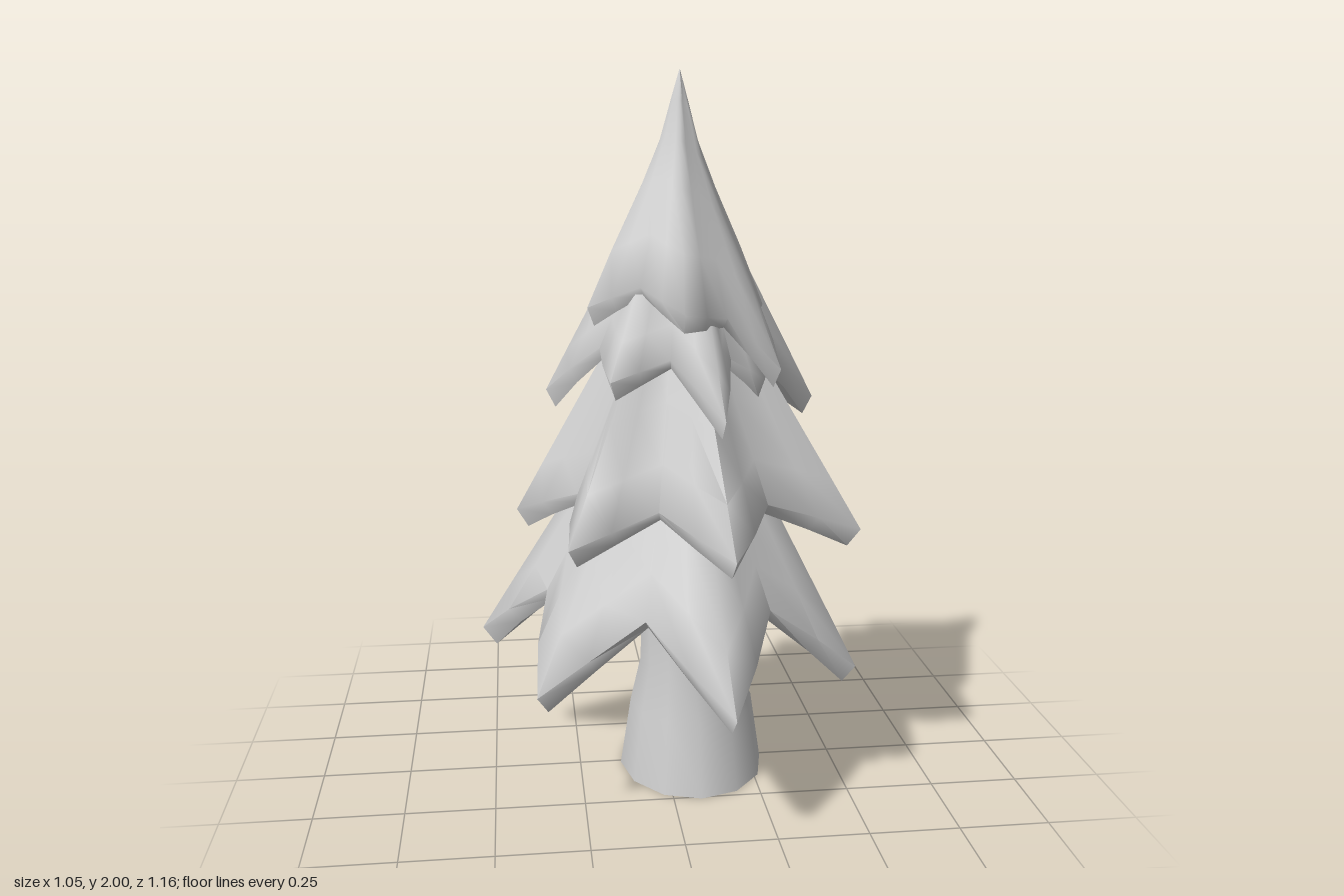
import * as THREE from 'three';
import { toCreasedNormals } from 'three/addons/utils/BufferGeometryUtils.js';

// Double sided, as the trunk is an open tube
const material = new THREE.MeshStandardMaterial({ color: 0xcccccc, side: THREE.DoubleSide });

// Skin a stack of equal-length rings, running from the top down (points clockwise seen from above)
function loft(name, rings) {
  const n = rings[0].length;
  const index = [];
  for (let r = 0; r < rings.length - 1; r++) {
    for (let i = 0; i < n; i++) {
      const j = (i + 1) % n;
      const up = r * n, low = up + n;
      index.push(low + i, up + i, up + j, low + i, up + j, low + j);
    }
  }
  const geometry = new THREE.BufferGeometry();
  geometry.setAttribute('position', new THREE.Float32BufferAttribute(rings.flat(2), 3));
  geometry.setIndex(index);
  const mesh = new THREE.Mesh(toCreasedNormals(geometry, 1.25), material);
  mesh.name = name;
  return mesh;
}

// Tree axis, and the [scale, rise] slopes of the branch skirts
const CX = 0.04, CZ = 0.02;
const SKIRT = [[0.34, 0.82], [0.42, 0.72], [0.63, 0.46], [0.84, 0.2]];
const CROWN = [[0.005, 1], [0.1, 0.87], [0.22, 0.7], [0.43, 0.5], [0.74, 0.24]];

// Star-shaped tier: tips are [x, z, extra droop]; a notch sits between each pair of tips,
// pulled towards the tree axis and raised, with a slightly bulging shoulder on either side.
// Rim points are [x, y, z, lip thickness].
function tier(name, { topY, tipY, notchRise, pull, slope, tips }) {
  const shoulder = (a, b) => {
    const [x, y, z, lip] = a.map((v, k) => (v + b[k]) / 2);
    return [CX + (x - CX) * 1.03, y, CZ + (z - CZ) * 1.03, lip];
  };
  const tipPoint = ([x, z, droop = 0]) => [x, tipY - droop, z, 0.05];
  const rim = tips.flatMap((tip, i) => {
    const a = tipPoint(tip), b = tipPoint(tips[(i + 1) % tips.length]);
    const notch = [
      CX + ((a[0] + b[0]) / 2 - CX) * pull,
      (a[1] + b[1]) / 2 + notchRise,
      CZ + ((a[2] + b[2]) / 2 - CZ) * pull,
      0.025,
    ];
    return [a, shoulder(a, notch), notch, shoulder(notch, b)];
  });
  const ring = (scale, rise, lipAmount = 0) => rim.map(([x, y, z, lip]) => [
    CX + (x - CX) * scale, y + (topY - y) * rise - lip * lipAmount, CZ + (z - CZ) * scale,
  ]);
  return loft(name, [
    ...slope.map(([scale, rise]) => ring(scale, rise)),
    ring(1, 0), ring(0.93, 0, 1), // rim and blunt lower lip
    ring(0.55, 0.2), ring(0.22, 0.34), // hollow underside
  ]);
}

// Flared oval trunk, rows of [y, centre x, half width, half depth]
function trunk() {
  const rows = [
    [0.75, 0.05, 0.11, 0.12], [0.5, 0.055, 0.12, 0.135], [0.33, 0.065, 0.135, 0.16],
    [0.2, 0.08, 0.18, 0.2], [0, 0.08, 0.21, 0.25],
  ];
  const sides = 12;
  return loft('trunk', rows.map(([y, cx, w, d]) => Array.from({ length: sides }, (_, i) => {
    const a = (i / sides) * Math.PI * 2;
    return [cx + Math.sin(a) * w, y, 0.01 - Math.cos(a) * d];
  })));
}

export function createModel() {
  const group = new THREE.Group();
  group.name = 'pineTree';
  group.add(trunk());
  group.add(tier('bottomBranches', {
    topY: 1.15, tipY: 0.38, notchRise: 0.2, pull: 0.77, slope: SKIRT,
    tips: [[0.04, -0.58], [0.51, -0.35], [0.51, 0.26], [0.12, 0.58], [-0.38, 0.38], [-0.53, -0.16]],
  }));
  group.add(tier('lowerMiddleBranches', {
    topY: 1.45, tipY: 0.77, notchRise: 0.09, pull: 0.74, slope: SKIRT,
    tips: [[0.04, -0.49], [0.38, -0.22], [0.52, 0.23], [0.13, 0.49], [-0.29, 0.34], [-0.42, -0.08]],
  }));
  group.add(tier('upperMiddleBranches', {
    topY: 1.7, tipY: 1.13, notchRise: 0.1, pull: 0.78, slope: SKIRT,
    tips: [[0.05, -0.38], [0.44, -0.06, 0.04], [0.25, 0.2, -0.06], [0.12, 0.36, 0.02],
      [-0.17, 0.26, -0.07], [-0.33, -0.04], [-0.18, -0.2, -0.05]],
  }));
  group.add(tier('crown', {
    topY: 2, tipY: 1.38, notchRise: 0.06, pull: 0.88, slope: CROWN,
    tips: [[0.02, -0.31], [0.28, -0.04], [0.29, 0.22, 0.16], [0.02, 0.3], [-0.22, 0.12],
      [-0.15, -0.06, -0.03]],
  }));
  return group;
}
